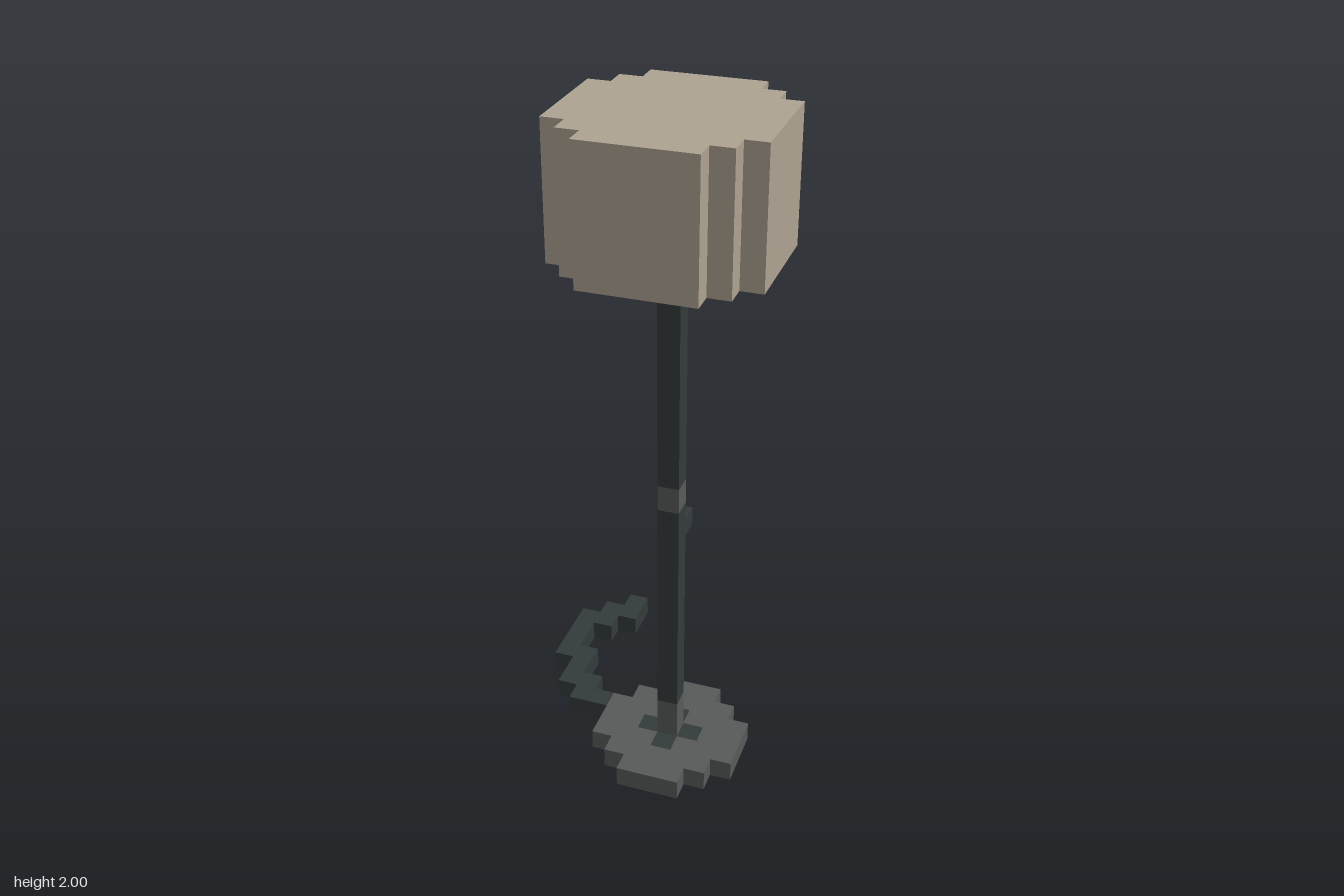
import * as THREE from 'three';

const U = 1 / 16;          // one block
const CX = 1.5, CZ = 2.5;  // lamp axis, in blocks

const mat = (name, color) => {
  const m = new THREE.MeshStandardMaterial({ color });
  m.name = name;
  return m;
};

// Stepped round outline, n blocks across, optionally with one back corner block cut away
function stepped(n, notch = false) {
  const h = n / 2, f = h - 2;
  const quarter = [[h, f], [h - 1, f], [h - 1, f + 1], [h - 2, f + 1], [h - 2, h]];
  const pts = [];
  for (let q = 0; q < 4; q++) {
    const c = [1, 0, -1, 0][q], s = [0, 1, 0, -1][q];
    quarter.forEach(([x, y], i) => {
      if (notch && q === 2 && i === 4) pts.push([1 - f, 1 - h], [1 - f, -h]);
      else pts.push([c * x - s * y, s * x + c * y]);
    });
  }
  return pts.map(([x, y]) => new THREE.Vector2((x + CX) * U, (y + CZ) * U));
}

export function createModel() {
  const dark = mat('dark metal', 0x343b3b);
  const grey = mat('grey metal', 0x585a5a);
  const cloth = mat('beige cloth', 0xaea391);
  const model = new THREE.Group();
  model.name = 'floorLamp';

  const add = (name, geometry, material, parent = model) => {
    const mesh = new THREE.Mesh(geometry, material);
    mesh.name = name;
    parent.add(mesh);
  };
  // Box from min to max corner, in blocks
  const block = (name, material, a, b, parent) => {
    const g = new THREE.BoxGeometry(...a.map((v, i) => (b[i] - v) * U));
    g.translate(...a.map((v, i) => (b[i] + v) * U / 2));
    add(name, g, material, parent);
  };
  // Upright slab from a plan outline between two heights
  const slab = (name, material, outline, hole, y0, y1, parent) => {
    const shape = new THREE.Shape(outline);
    if (hole) shape.holes.push(new THREE.Path(hole));
    const g = new THREE.ExtrudeGeometry(shape, { depth: (y1 - y0) * U, bevelEnabled: false });
    g.rotateX(Math.PI / 2).translate(0, y1 * U, 0);
    add(name, g, material, parent);
  };

  // Base disc with a dark cross-shaped centre
  const cross = [[1.5, .5], [.5, .5], [.5, 1.5], [-.5, 1.5], [-.5, .5], [-1.5, .5],
    [-1.5, -.5], [-.5, -.5], [-.5, -1.5], [.5, -1.5], [.5, -.5], [1.5, -.5]]
    .map(([x, y]) => new THREE.Vector2((x + CX) * U, (y + CZ) * U));
  slab('base', grey, stepped(7), cross, 0, 1);
  slab('baseCentre', dark, cross, null, 0, 1);

  // Pole in dark and grey bands
  [[1, 3, grey], [3, 13.9, dark], [13.9, 15.15, grey], [15.15, 27, dark]].forEach(([y0, y1, m]) =>
    block(m === grey ? 'poleCollar' : 'pole', m, [1, y0, 2], [2, y1, 3]));
  block('switchKnob', dark, [1, 12.1, 1], [2, 13, 2]);

  // Bar carrying the shade
  block('shadeBar', dark, [-2, 26, 2], [5, 27, 3]);

  // Hollow shade, closed on top
  const shade = new THREE.Group();
  shade.name = 'shade';
  model.add(shade);
  slab('shadeTop', cloth, stepped(9), null, 31, 32, shade);
  slab('shadeUpperWall', cloth, stepped(9), stepped(7), 29, 31, shade);
  slab('shadeLowerWall', cloth, stepped(9, true), stepped(7), 26, 29, shade);

  // Cable on the floor: [x, zStart, zEnd]
  const cable = new THREE.Group();
  cable.name = 'cable';
  model.add(cable);
  [[-3, 1, 2], [-4, 0, 2], [-5, -2, 1], [-6, -5, -1], [-5, -6, -4], [-4, -7, -5]].forEach(([x, z0, z1]) =>
    block('cablePiece', dark, [x, 0, z0], [x + 1, 1, z1], cable));

  return model;
}
